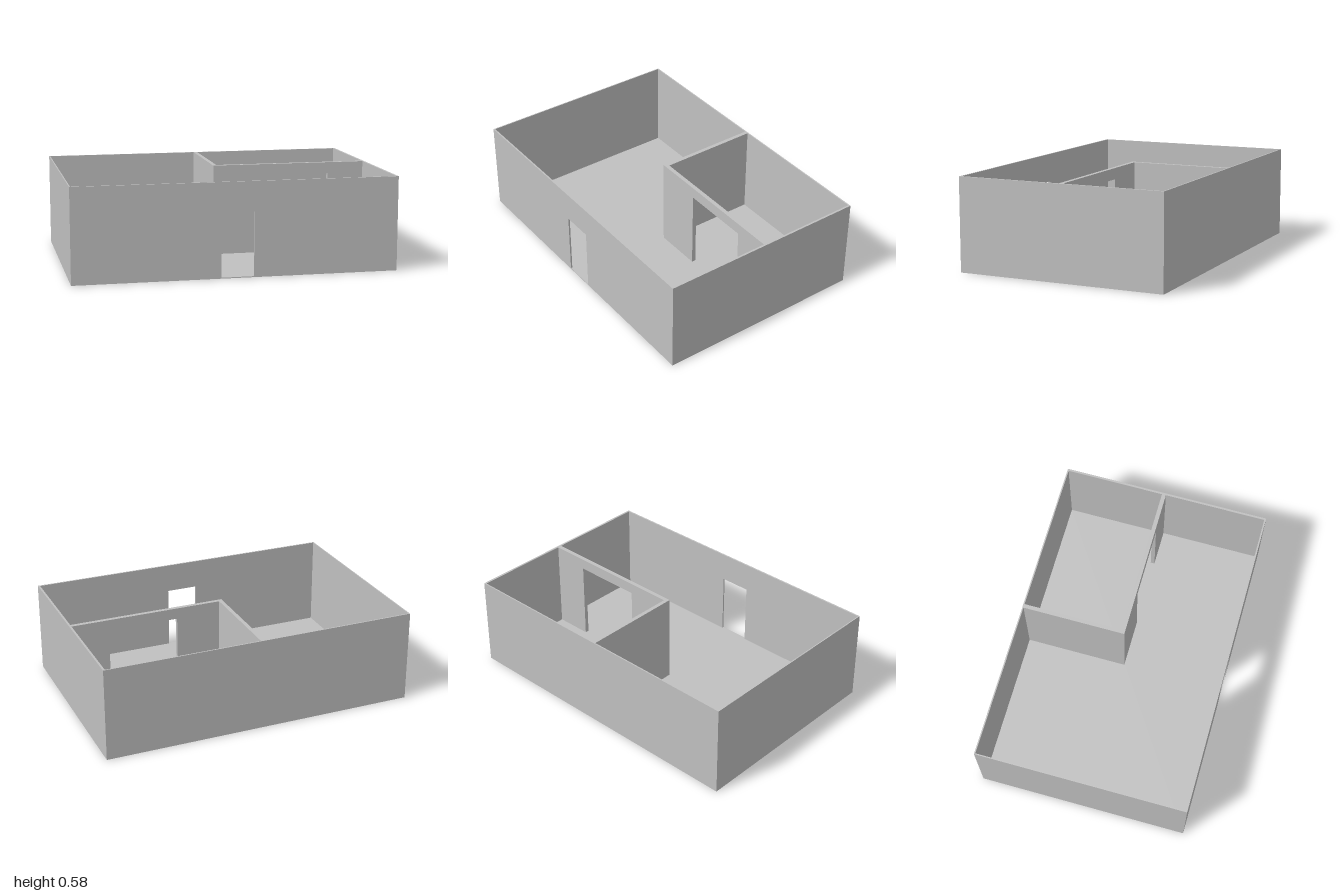
import * as THREE from 'three';

const W = 1, D = 0.665, H = 0.585, FLOOR = 0.006;

export function createModel() {
  const model = new THREE.Group();
  const plaster = new THREE.MeshStandardMaterial({ color: 0xc0c0c0 });
  plaster.name = 'grey plaster';

  // Box given by its lower and upper corners
  function block(name, x0, x1, y0, y1, z0, z1) {
    const mesh = new THREE.Mesh(new THREE.BoxGeometry(x1 - x0, y1 - y0, z1 - z0), plaster);
    mesh.position.set((x0 + x1) / 2, (y0 + y1) / 2, (z0 + z1) / 2);
    mesh.name = name;
    model.add(mesh);
  }

  // Wall along x with a doorway that starts at the floor
  function doorWall(name, x0, x1, z0, z1, door) {
    const s = new THREE.Shape();
    s.moveTo(x0, FLOOR);
    s.lineTo(door.x0, FLOOR);
    s.lineTo(door.x0, door.top);
    s.lineTo(door.x1, door.top);
    s.lineTo(door.x1, FLOOR);
    s.lineTo(x1, FLOOR);
    s.lineTo(x1, H);
    s.lineTo(x0, H);
    s.closePath();
    const mesh = new THREE.Mesh(
      new THREE.ExtrudeGeometry(s, { depth: z1 - z0, bevelEnabled: false }), plaster);
    mesh.position.z = z0;
    mesh.name = name;
    model.add(mesh);
  }

  // Floor slab
  block('floor', -W, W, 0, FLOOR, -D, D);

  // Outer walls
  block('backWall', -W, W, FLOOR, H, -D, -D + 0.008);
  block('leftWall', W - 0.013, W, FLOOR, H, -D + 0.008, D - 0.01);
  block('rightWall', -W, -W + 0.007, FLOOR, H, -D + 0.008, D - 0.01);
  doorWall('frontWall', -W, W, D - 0.01, D, { x0: -0.1, x1: 0.1, top: 0.4 });

  // Inner walls around the corner room
  block('innerSideWall', -0.011, 0.014, FLOOR, H, -D + 0.008, 0);
  doorWall('innerFrontWall', 0.014, W - 0.013, -0.026, 0, { x0: 0.3, x1: 0.75, top: 0.515 });

  return model;
}
